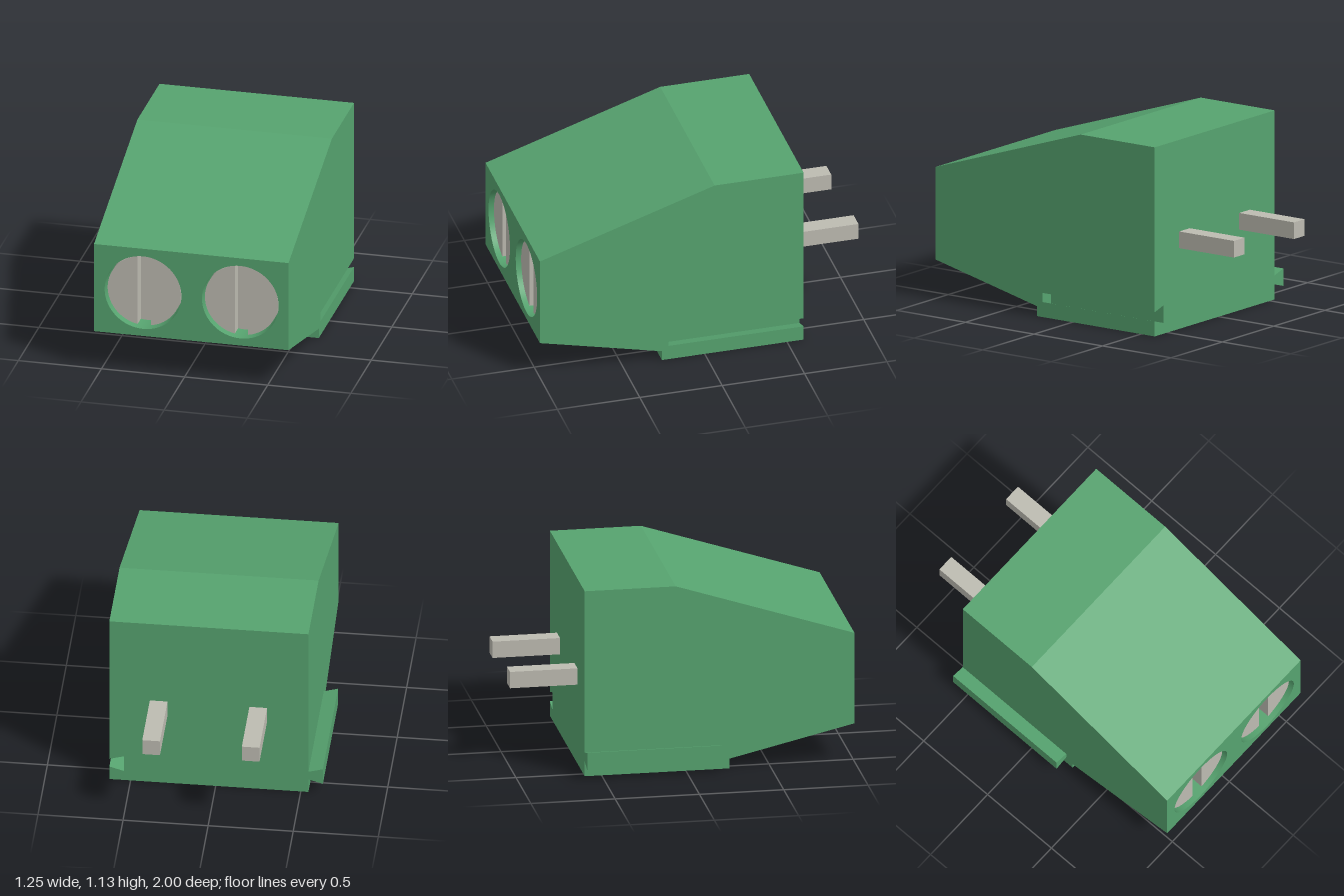
import * as THREE from 'three';
import { mergeGeometries } from 'three/addons/utils/BufferGeometryUtils.js';

const L = -0.545, R = 0.625, BACK = -0.6, FRONT = 1;
const POLES = [-0.25, 0.335];
const SCREW_Y = 0.511;

const green = new THREE.MeshStandardMaterial({ color: 0x56a36f, side: THREE.DoubleSide });
green.name = 'green plastic';
const metal = new THREE.MeshStandardMaterial({ color: 0xbdbbb1 });
metal.name = 'pale metal';

const vecs = pts => pts.map(p => new THREE.Vector2(...p));

// Flat face from a 2D outline, placed in space by a mapping
function face(pts, map, flip = false, holes = []) {
  const shape = new THREE.Shape(vecs(pts));
  shape.holes = holes;
  const g = new THREE.ShapeGeometry(shape, 32).toNonIndexed();
  const p = g.attributes.position;
  for (let i = 0; i < p.count; i++) p.setXYZ(i, ...map(p.getX(i), p.getY(i)));
  if (flip) {
    for (let i = 0; i < p.count; i += 3) {
      const a = [p.getX(i), p.getY(i), p.getZ(i)];
      p.setXYZ(i, p.getX(i + 1), p.getY(i + 1), p.getZ(i + 1));
      p.setXYZ(i + 1, ...a);
    }
  }
  g.computeVertexNormals();
  return g;
}

// Flat four-sided face
function quad(a, b, c, d) {
  const g = new THREE.BufferGeometry();
  g.setAttribute('position', new THREE.Float32BufferAttribute([a, b, c, a, c, d].flat(), 3));
  g.setAttribute('uv', new THREE.Float32BufferAttribute(new Array(12).fill(0), 2));
  g.computeVertexNormals();
  return g;
}

// Spans one (z, y) edge across x
const strip = ([z0, y0], [z1, y1], x0, x1) =>
  quad([x0, y0, z0], [x1, y0, z0], [x1, y1, z1], [x0, y1, z1]);

function addMesh(group, name, geometry, material) {
  const m = new THREE.Mesh(geometry, material);
  m.name = name;
  group.add(m);
  return m;
}

function housing() {
  const profile = [[BACK, 0], [0.26, 0], [0.26, 0.06], [FRONT, 0.235],
    [FRONT, 0.79], [-0.06, 1.135], [BACK, 1.135]];
  const parts = [];
  // Sloping roof, top, chin and foot step
  for (const i of [1, 2, 4, 5]) parts.push(strip(profile[i], profile[i + 1], L, R));

  // Side walls; the right one is open at the groove mouth
  parts.push(face(profile, (z, y) => [L, y, z]));
  const notched = [...profile, [BACK, 0.145], [0.22, 0.145], [0.22, 0.09], [BACK, 0.09]];
  parts.push(face(notched, (z, y) => [R, y, z], true));

  // Back wall with dovetail notch
  const notch = [[R, 0.09], [0.54, 0.065], [0.54, 0.17], [R, 0.145]];
  parts.push(face([[L, 0], [R, 0], ...notch, [R, 1.135], [L, 1.135]],
    (x, y) => [x, y, BACK], true));
  for (let i = 0; i < 3; i++) {
    const [a, b] = [notch[i], notch[i + 1]];
    parts.push(quad([...a, BACK], [...a, 0.22], [...b, 0.22], [...b, BACK]));
  }
  parts.push(face(notch, (x, y) => [x, y, 0.22], true));

  // Front wall with round screw holes
  const circles = POLES.map(x => new THREE.Path().absarc(x, SCREW_Y, 0.231, 0, Math.PI * 2, true));
  parts.push(face([[L, 0.235], [R, 0.235], [R, 0.79], [L, 0.79]],
    (x, y) => [x, y, FRONT], false, circles));

  // Underside with one pocket per pole
  const z0 = -0.43, z1 = 0.17, w = 0.2;
  const rects = POLES.map(x => new THREE.Path(vecs(
    [[x - w, z0], [x - w, z1], [x + w, z1], [x + w, z0]])));
  parts.push(face([[L, BACK], [R, BACK], [R, 0.26], [L, 0.26]],
    (x, z) => [x, 0, z], false, rects));
  const pocket = [[z0, 0], [z0, 0.6], [0.04, 0.6], [0.04, 0.125], [z1, 0]];
  for (const x of POLES) {
    for (let i = 0; i < 4; i++) parts.push(strip(pocket[i], pocket[i + 1], x - w, x + w));
    parts.push(face(pocket, (z, y) => [x - w, y, z], true));
    parts.push(face(pocket, (z, y) => [x + w, y, z]));
  }
  return mergeGeometries(parts);
}

// Slotted screw head facing +z, front at z = 0
function screw() {
  const g = new THREE.Group();
  const r = 0.22, half = 0.04, depth = 0.08;
  const base = new THREE.CylinderGeometry(r, r, 0.1, 64).rotateX(Math.PI / 2);
  addMesh(g, 'screwBase', base, metal).position.z = -depth - 0.05;
  const a = Math.acos(half / r);
  for (const side of [0, Math.PI]) {
    const s = new THREE.Shape().absarc(0, 0, r, side - a, side + a, false);
    const geo = new THREE.ExtrudeGeometry(s, { depth, bevelEnabled: false, curveSegments: 32 });
    addMesh(g, 'screwHalf', geo, metal).position.z = -depth;
  }
  return g;
}

export function createModel() {
  const model = new THREE.Group();
  model.name = 'terminalBlock';
  addMesh(model, 'housing', housing(), green);

  // Dovetail rail along the side opposite the groove
  const rail = new THREE.Shape(vecs([[L, 0.09], [L, 0.145], [-0.63, 0.17], [-0.63, 0.065]]));
  addMesh(model, 'dovetailRail',
    new THREE.ExtrudeGeometry(rail, { depth: 0.81, bevelEnabled: false }), green).position.z = BACK;

  for (const x of POLES) {
    // Recess around the screw
    const bore = new THREE.CylinderGeometry(0.231, 0.231, 0.2, 64, 1, true).rotateX(Math.PI / 2);
    addMesh(model, 'screwHole', bore, green).position.set(x, SCREW_Y, 0.9);
    addMesh(model, 'screwHoleFloor', new THREE.CircleGeometry(0.231, 64), green)
      .position.set(x, SCREW_Y, 0.8);
    const s = screw();
    s.name = 'screw';
    s.position.set(x, SCREW_Y, 0.97);
    model.add(s);
    // Solder pin
    addMesh(model, 'pin', new THREE.BoxGeometry(0.104, 0.1, 0.4), metal)
      .position.set(x, 0.535, -0.8);
  }
  return model;
}
